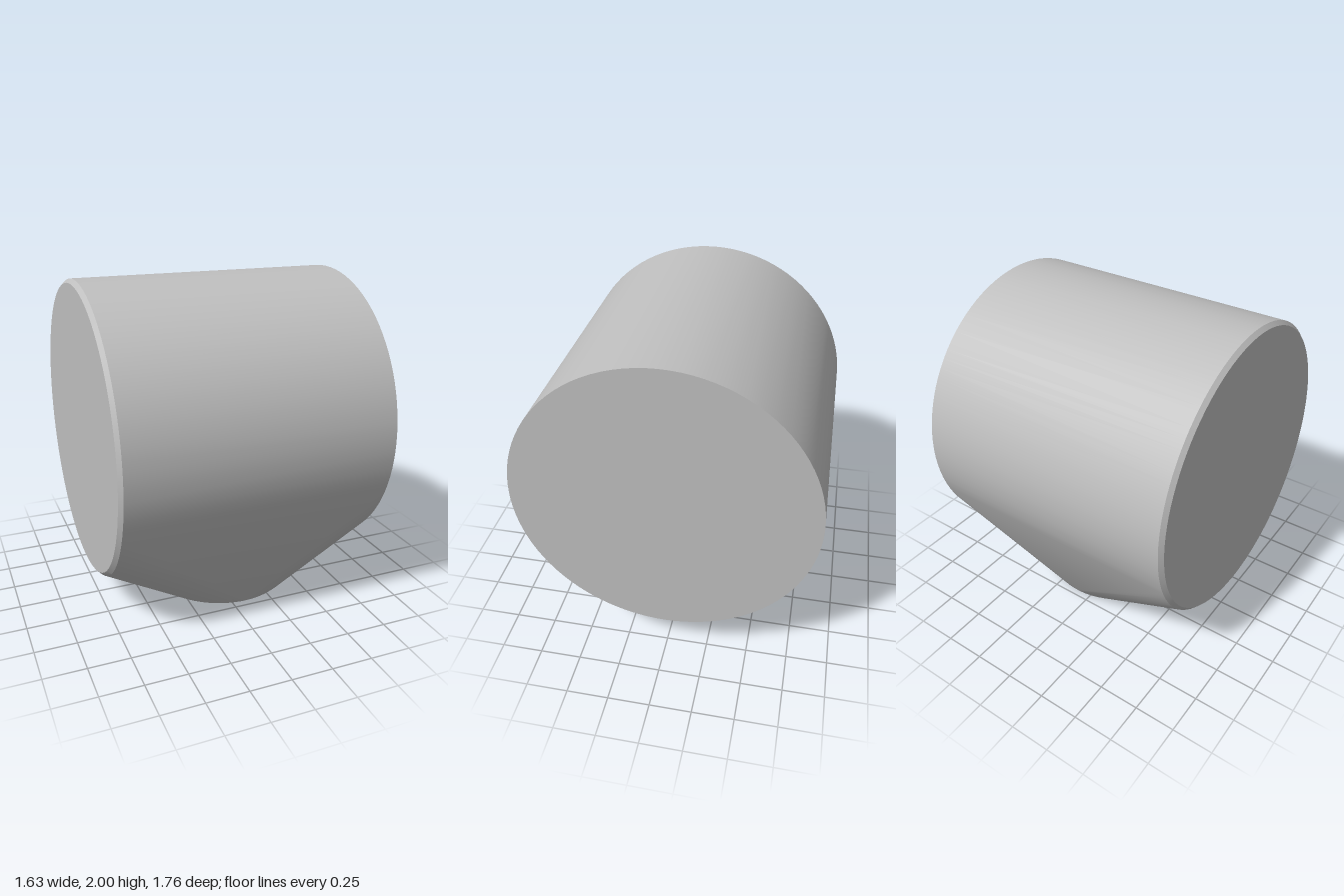
import * as THREE from 'three';
import { ConvexGeometry } from 'three/addons/geometries/ConvexGeometry.js';
import { toCreasedNormals } from 'three/addons/utils/BufferGeometryUtils.js';

const SEGMENTS = 96;

// Ring of points around the x axis (drum) or the y axis (foot)
function ring(axis, center, radius) {
  return Array.from({ length: SEGMENTS }, (_, i) => {
    const a = (i / SEGMENTS) * Math.PI * 2;
    const u = Math.cos(a) * radius;
    const v = Math.sin(a) * radius;
    const offset = axis === 'x' ? new THREE.Vector3(0, u, v) : new THREE.Vector3(u, 0, v);
    return offset.add(center);
  });
}

export function createModel() {
  const group = new THREE.Group();
  group.name = 'drumWithFoot';

  const grey = new THREE.MeshStandardMaterial({ color: 0xbfbfbf });
  grey.name = 'grey';

  const drumY = 1.122;
  const footX = 0.085;
  const points = [
    // Horizontal drum, bevelled at its right end
    ...ring('x', new THREE.Vector3(0.813, drumY, 0), 0.878),
    ...ring('x', new THREE.Vector3(-0.79, drumY, 0), 0.878),
    ...ring('x', new THREE.Vector3(-0.813, drumY, 0), 0.855),
    // Round foot with a small bevel
    ...ring('y', new THREE.Vector3(footX, 0.025, 0), 0.478),
    ...ring('y', new THREE.Vector3(footX, 0, 0), 0.453),
  ];

  // Taut skin blending the drum into the foot
  const body = new THREE.Mesh(toCreasedNormals(new ConvexGeometry(points), 0.4), grey);
  body.name = 'body';
  group.add(body);
  return group;
}
